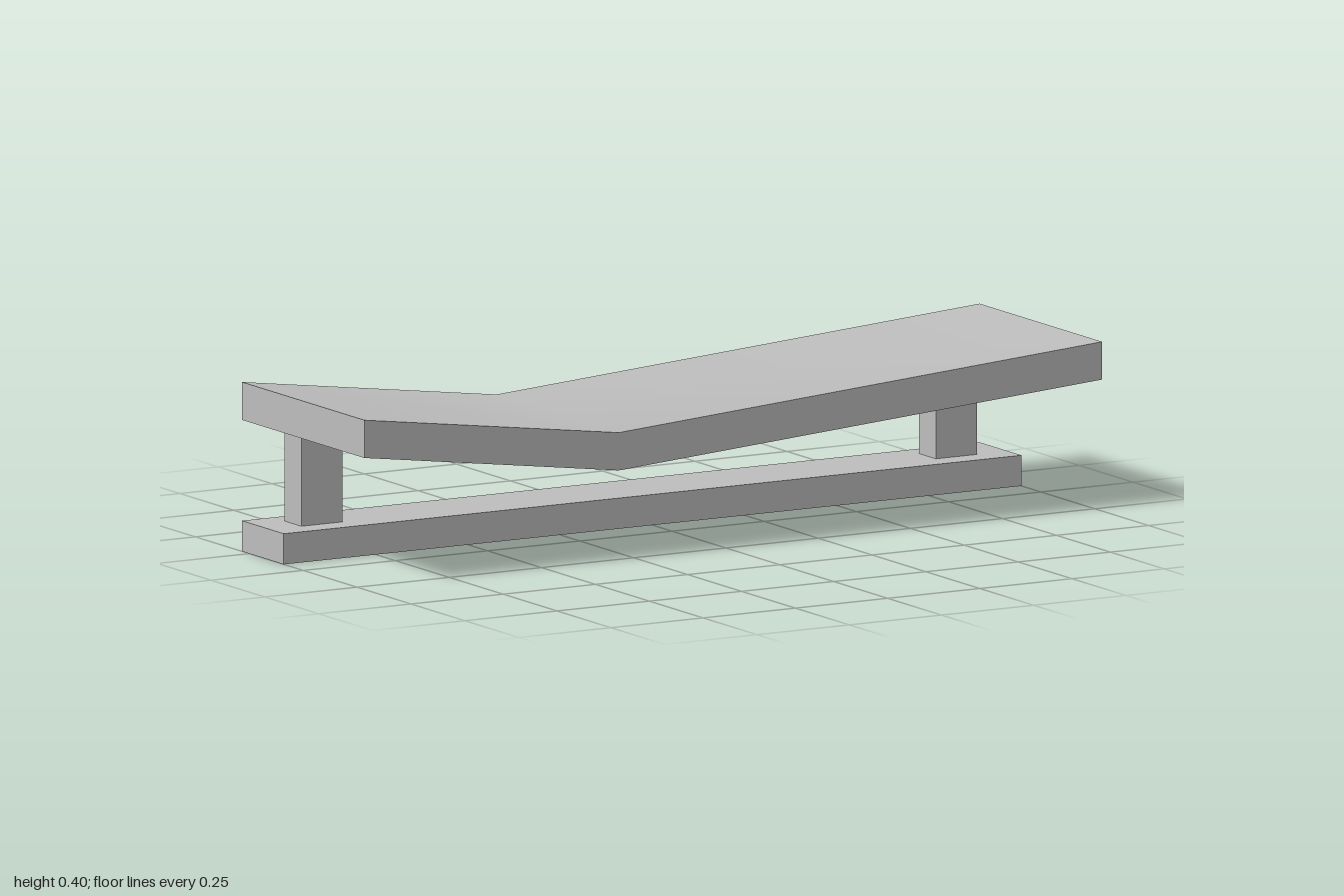
import * as THREE from 'three';
import { toCreasedNormals } from 'three/addons/utils/BufferGeometryUtils.js';

// Extrudes an x-y outline between two z values
function prism(name, points, z0, z1, material) {
  const shape = new THREE.Shape(points.map(([x, y]) => new THREE.Vector2(x, y)));
  const geometry = new THREE.ExtrudeGeometry(shape, { depth: z1 - z0, bevelEnabled: false });
  geometry.translate(0, 0, z0);
  const mesh = new THREE.Mesh(toCreasedNormals(geometry, 0.5), material);
  mesh.name = name;
  return mesh;
}

export function createModel() {
  const model = new THREE.Group();
  model.name = 'bentBench';
  const grey = new THREE.MeshStandardMaterial({ color: 0xc0c0c0 });
  grey.name = 'light grey';

  // Underside of the slab: two slopes meeting off centre
  const kinkX = -0.31, kinkY = 0.219, endY = 0.313, thickness = 0.09;
  const underside = (x) => {
    const end = x < kinkX ? -1 : 1;
    return kinkY + (endY - kinkY) * (x - kinkX) / (end - kinkX);
  };

  // Bent slab
  model.add(prism('slab', [
    [-1, endY], [kinkX, kinkY], [1, endY],
    [1, endY + thickness], [kinkX, kinkY + thickness], [-1, endY + thickness],
  ], -0.284, 0.284, grey));

  // Base beam along the back
  const baseTop = 0.073;
  model.add(prism('baseBeam', [
    [-1, 0], [1, 0], [1, baseTop], [-1, baseTop],
  ], -0.284, -0.09, grey));

  // Posts cut to the slope of the slab
  for (const [name, x] of [['rightPost', -0.86], ['leftPost', 0.86]]) {
    const a = x - 0.056, b = x + 0.056;
    model.add(prism(name, [
      [a, baseTop], [b, baseTop], [b, underside(b)], [a, underside(a)],
    ], -0.23, -0.152, grey));
  }
  return model;
}
